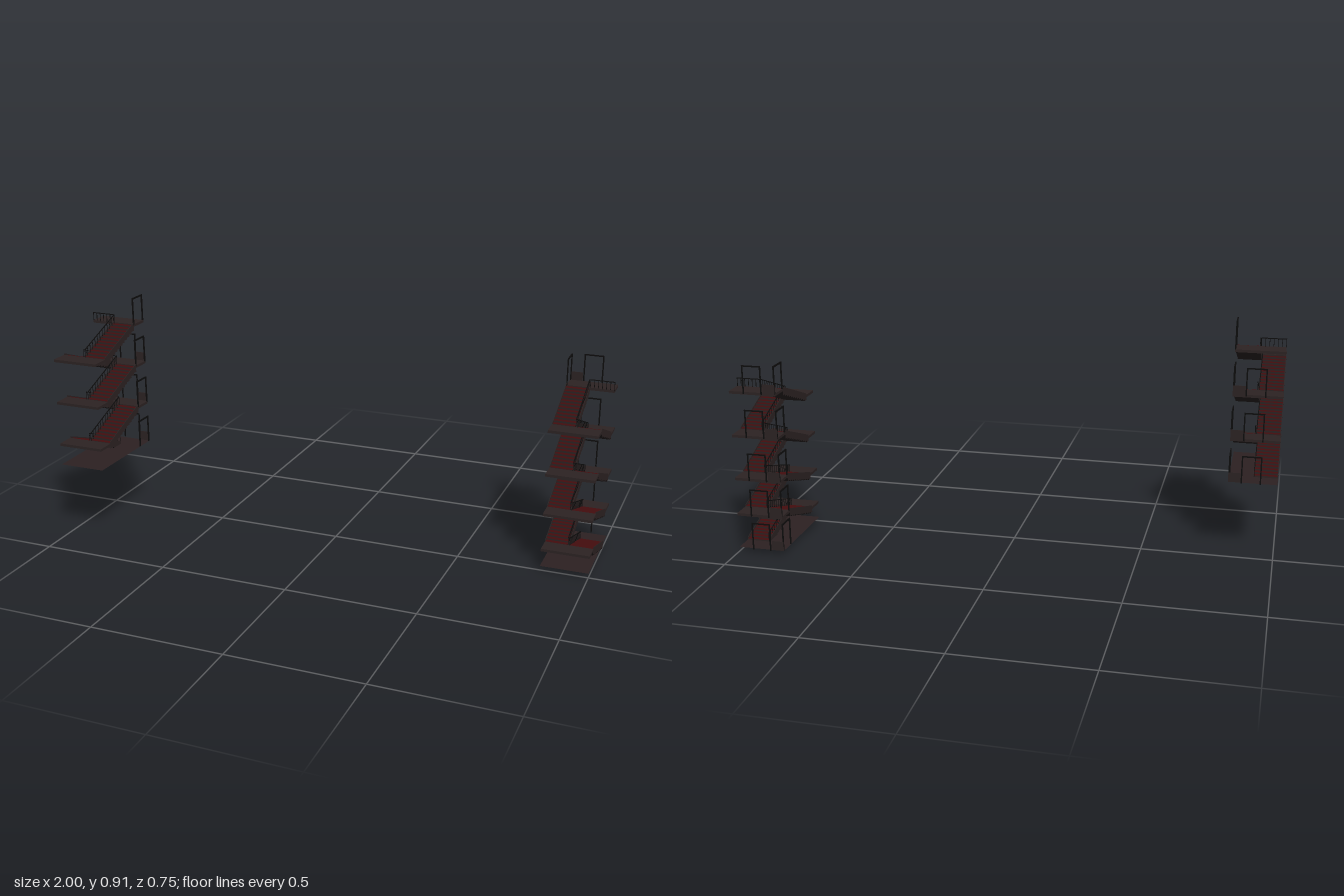
import * as THREE from 'three';

const mat = (name, color, side = THREE.FrontSide) => {
  const m = new THREE.MeshStandardMaterial({ color, side });
  m.name = name;
  return m;
};

export function createModel() {
  const concrete = mat('dark concrete', 0x2b2222);
  const floorMat = mat('floor slab', 0x2b2021, THREE.DoubleSide);
  const carpet = mat('red tread', 0x430c0e);
  const under = mat('stair underside', 0x100c0c);
  const metal = mat('black metal', 0x0d0c0c);

  // Plan layout: inner, middle and outer x, then z along one storey
  const X0 = 0.818, XM = 0.908, X1 = 1;
  const ZB = 0.075, ZF = 0.295, ZE = 0.365;
  const STEPS = 12, RAIL = 0.036;

  const model = new THREE.Group();
  model.name = 'twinStairTowers';

  function tower(name, s, zOff, backLevels, frontLevels, topBackDoor) {
    const g = new THREE.Group();
    g.name = name;
    g.position.z = zOff;
    model.add(g);

    // Box given by its min and max; s mirrors x
    function box(name, material, x0, x1, y0, y1, z0, z1) {
      const m = new THREE.Mesh(new THREE.BoxGeometry(x1 - x0, y1 - y0, z1 - z0), material);
      m.name = name;
      m.position.set(s * (x0 + x1) / 2, (y0 + y1) / 2, (z0 + z1) / 2);
      g.add(m);
      return m;
    }

    // Bar that follows the slope of a flight: ya at the back, yb at the front
    function slopedBar(name, material, x, w, ya, yb, lo, hi) {
      const geo = new THREE.BoxGeometry(w, hi - lo, ZF - ZB);
      const p = geo.attributes.position;
      for (let i = 0; i < p.count; i++) {
        const end = p.getZ(i) < 0 ? ya : yb;
        p.setY(i, end + (p.getY(i) < 0 ? lo : hi));
      }
      geo.computeVertexNormals();
      const m = new THREE.Mesh(geo, material);
      m.name = name;
      m.position.set(s * x, 0, (ZB + ZF) / 2);
      g.add(m);
    }

    // One flight with steps, two stringers and the railing beside the well
    function flight(xa, xb, yBack, yFront, railX) {
      const toFront = yFront > yBack;
      const low = Math.min(yBack, yFront), rise = Math.abs(yFront - yBack);
      const d = (ZF - ZB) / STEPS;
      // Box faces: +x, -x, top, bottom, front, back
      const faces = [concrete, concrete, carpet, under,
        toFront ? under : concrete, toFront ? concrete : under];
      for (let i = 0; i < STEPS; i++) {
        const top = low + rise * (i + 1) / STEPS;
        const z = toFront ? ZB + i * d : ZF - (i + 1) * d;
        box('step', faces, xa, xb, top - 0.022, top, z, z + d);
      }
      for (const x of [xa + 0.001, xb - 0.001])
        slopedBar('stringer', concrete, x, 0.002, yBack, yFront, -0.012, 0.011);
      slopedBar('handrail', metal, railX, 0.003, yBack, yFront, RAIL - 0.003, RAIL);
      for (let i = 0; i <= 12; i++) {
        const t = i / 12, z = ZB + t * (ZF - ZB), y = yBack + t * (yFront - yBack);
        box('baluster', metal, railX - 0.0008, railX + 0.0008, y, y + RAIL, z - 0.0008, z + 0.0008);
      }
    }

    // Door frames: on the inner side, and on the back
    function sideFrame(y) {
      const h = y + 0.108, a = X0, b = X0 + 0.004;
      box('sideDoorPost', metal, a, b, y, h, 0, 0.006);
      box('sideDoorPost', metal, a, b, y, h, ZB - 0.006, ZB);
      box('sideDoorHead', metal, a, b, h - 0.006, h, 0, ZB);
    }
    function backFrame(y) {
      const h = y + 0.108, a = 0.865, b = 0.94, z0 = -0.011, z1 = -0.008;
      box('backDoorPost', metal, a, a + 0.005, y, h, z0, z1);
      box('backDoorPost', metal, b - 0.005, b, y, h, z0, z1);
      box('backDoorHead', metal, a, b, h - 0.005, h, z0, z1);
      box('backLowPanel', concrete, X0, a, y, y + 0.037, -0.001, 0.001);
    }

    // Ground slab
    const slab = new THREE.Mesh(new THREE.PlaneGeometry(X1 - X0, ZE).rotateX(-Math.PI / 2), floorMat);
    slab.name = 'groundSlab';
    slab.position.set(s * (X0 + X1) / 2, backLevels[0], ZE / 2);
    g.add(slab);

    // Storeys
    const last = backLevels.length - 1;
    backLevels.forEach((y, i) => {
      if (i > 0) box('backLanding', concrete, X0, X1, y - 0.006, y + 0.004, 0, ZB);
      sideFrame(y);
      if (i < last || topBackDoor) backFrame(y);
      if (i === last) return;
      const f = frontLevels[i];
      box('frontLanding', concrete, X0, X1, f - 0.005, f + 0.005, ZF, ZE);
      flight(XM, X1, y, f, XM + 0.003);
      flight(X0, XM, backLevels[i + 1], f, XM - 0.003);
    });

    // Guard rail at the open edge of the top landing
    const y = backLevels[last];
    box('guardRail', metal, XM, X1, y + RAIL - 0.003, y + RAIL, ZB - 0.003, ZB);
    for (let i = 0; i <= 6; i++) {
      const x = XM + 0.001 + i * (X1 - XM - 0.002) / 6;
      box('guardBaluster', metal, x - 0.001, x + 0.001, y, y + RAIL, ZB - 0.002, ZB);
    }
  }

  tower('rightStairTower', -1, 0.01, [0.296, 0.463, 0.633, 0.801], [0.378, 0.547, 0.716], false);
  tower('leftStairTower', 1, -0.365, [0.015, 0.15, 0.293, 0.463, 0.633], [0.08, 0.222, 0.378, 0.547], true);
  return model;
}
